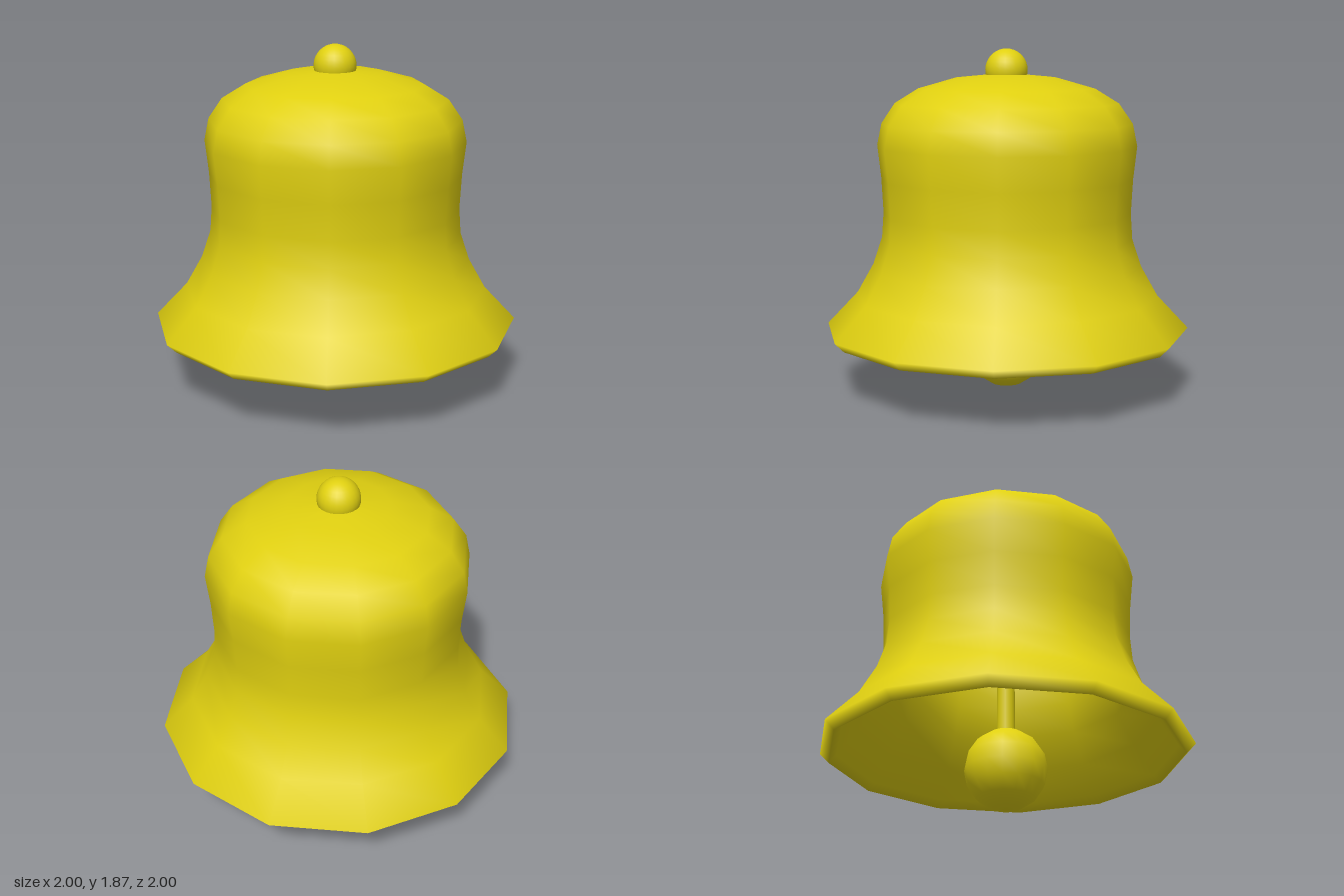
import * as THREE from 'three';

const SIDES = 12;

export function createModel() {
  const model = new THREE.Group();
  model.name = 'bell';
  const brass = new THREE.MeshStandardMaterial({ color: 0xe0d010 });

  const add = (name, geometry, y = 0) => {
    const mesh = new THREE.Mesh(geometry, brass);
    mesh.name = name;
    mesh.position.y = y;
    model.add(mesh);
    return mesh;
  };

  // Bell wall: down the inside from the crown, round the lip, up the outside
  const inner = [
    [0, 1.68], [0.25, 1.66], [0.45, 1.6], [0.57, 1.53], [0.64, 1.44], [0.66, 1.33],
    [0.64, 1.16], [0.63, 0.97], [0.64, 0.82], [0.69, 0.66], [0.79, 0.49], [0.91, 0.33],
  ];
  const outer = [
    [0.95, 0.29], [1, 0.34], [0.83, 0.52], [0.74, 0.68], [0.69, 0.83], [0.68, 0.97],
    [0.69, 1.16], [0.71, 1.34], [0.685, 1.46], [0.61, 1.57], [0.48, 1.65], [0.27, 1.71],
    [0, 1.735],
  ];
  const profile = [...inner, ...outer].map(([r, y]) => new THREE.Vector2(r, y));
  add('bellBody', new THREE.LatheGeometry(profile, SIDES));

  // Knob on the crown
  add('topKnob', new THREE.SphereGeometry(0.115, 24, 16), 1.75);

  // Clapper hanging inside
  add('clapperRod', new THREE.CylinderGeometry(0.048, 0.048, 1.3, 16), 1.05);
  add('clapperBall', new THREE.SphereGeometry(0.222, 16, 8), 0.222);

  return model;
}
